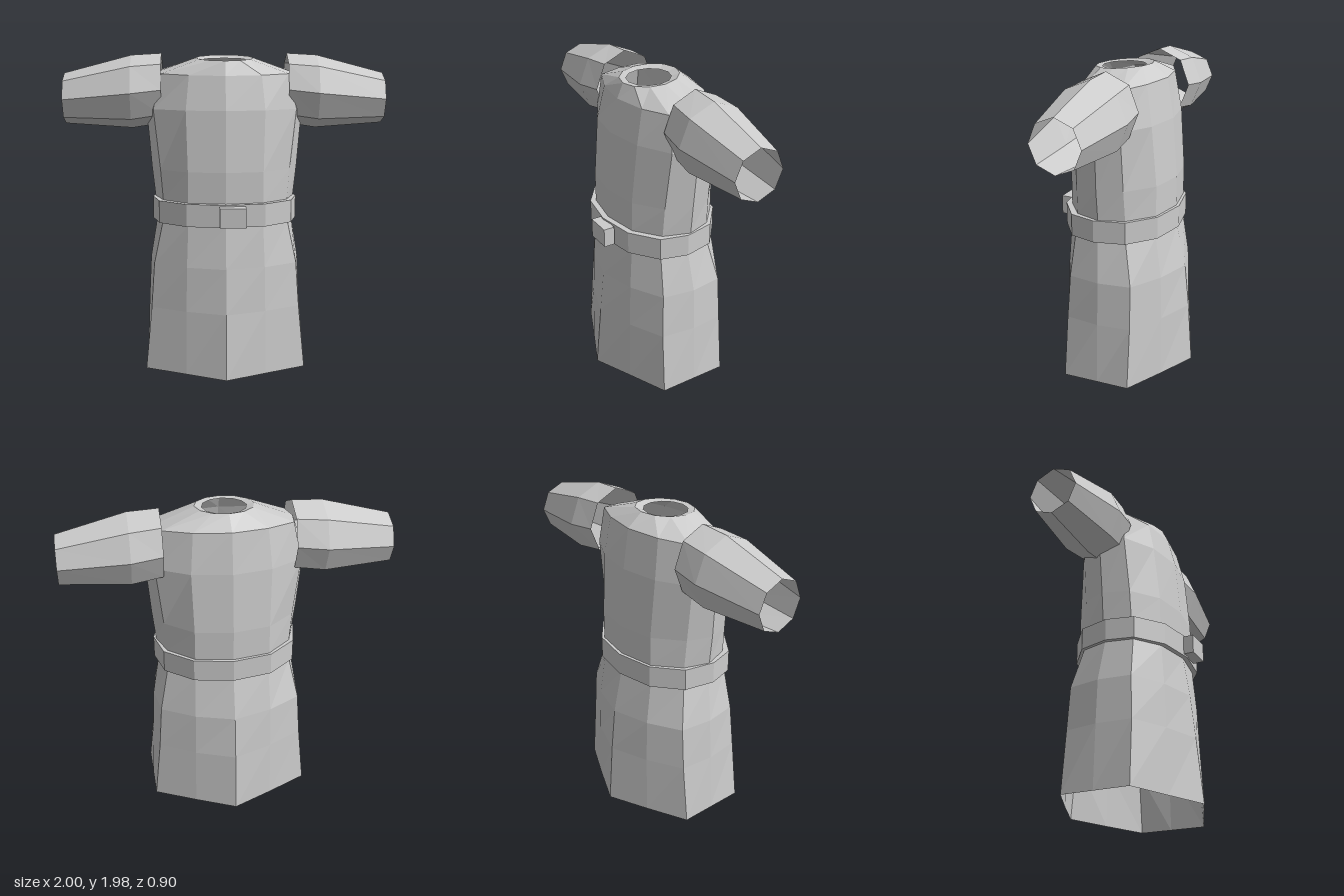
import * as THREE from 'three';

const cloth = new THREE.MeshStandardMaterial({ color: 0xcccccc, flatShading: true, side: THREE.DoubleSide });
cloth.name = 'pale grey cloth';

// Skin a list of closed rings; all rings have the same number of points
function loft(rings, name) {
  const pos = [];
  const n = rings[0].length;
  for (let r = 0; r + 1 < rings.length; r++) {
    for (let i = 0; i < n; i++) {
      const j = (i + 1) % n;
      const a = rings[r][i], b = rings[r][j], c = rings[r + 1][j], d = rings[r + 1][i];
      pos.push(...a, ...b, ...c, ...a, ...c, ...d);
    }
  }
  const geo = new THREE.BufferGeometry();
  geo.setAttribute('position', new THREE.Float32BufferAttribute(pos, 3));
  geo.computeVertexNormals();
  const mesh = new THREE.Mesh(geo, cloth);
  mesh.name = name;
  return mesh;
}

// Twelve-sided ring from its +x half [x, z], front to back; y drops by slope along z
function ring(y, slope, half) {
  const mirrored = half.slice(1, -1).reverse().map(([x, z]) => [-x, z]);
  return [...half, ...mirrored].map(([x, z]) => [x, y + slope * z, z]);
}

// Round twelve-sided ring for the neck
function roundRing(y, slope, radius, cz) {
  const half = [];
  for (let i = 0; i <= 6; i++) {
    const t = (i / 6) * Math.PI;
    half.push([radius * Math.sin(t), cz + radius * Math.cos(t)]);
  }
  return ring(y, slope, half);
}

// Octagonal sleeve ring around the x axis
function sleeveRing(x, cy, ry, cz, rz) {
  const pts = [];
  for (let i = 0; i < 8; i++) {
    const t = (i / 8) * Math.PI * 2;
    pts.push([x, cy + ry * Math.cos(t), cz + rz * Math.sin(t)]);
  }
  return pts;
}

export function createModel() {
  const group = new THREE.Group();
  group.name = 'tunic';

  // Skirt and torso, open at the hem and the neck
  group.add(loft([
    ring(0.01, -0.02, [[0, 0.45], [0.25, 0.34], [0.505, 0.23], [0.505, 0], [0.505, -0.21], [0.25, -0.335], [0, -0.45]]),
    ring(0.41, 0, [[0, 0.41], [0.245, 0.33], [0.465, 0.22], [0.49, 0], [0.465, -0.21], [0.245, -0.33], [0, -0.42]]),
    ring(0.69, 0, [[0, 0.38], [0.24, 0.32], [0.445, 0.205], [0.475, 0], [0.445, -0.205], [0.24, -0.32], [0, -0.39]]),
    ring(0.95, 0, [[0, 0.34], [0.23, 0.3], [0.39, 0.19], [0.43, 0.02], [0.39, -0.15], [0.23, -0.28], [0, -0.33]]),
    ring(1.09, 0, [[0, 0.33], [0.23, 0.295], [0.385, 0.175], [0.44, 0.01], [0.385, -0.145], [0.23, -0.28], [0, -0.32]]),
    ring(1.28, 0, [[0, 0.33], [0.23, 0.295], [0.4, 0.17], [0.46, 0.01], [0.4, -0.14], [0.23, -0.28], [0, -0.32]]),
    ring(1.65, 0, [[0, 0.3], [0.24, 0.26], [0.44, 0.15], [0.49, 0], [0.44, -0.14], [0.24, -0.25], [0, -0.29]]),
    ring(1.875, -0.08, [[0, 0.25], [0.22, 0.215], [0.39, 0.14], [0.41, 0], [0.39, -0.13], [0.22, -0.21], [0, -0.25]]),
    roundRing(1.96, -0.08, 0.18, 0.03),
    roundRing(1.948, -0.04, 0.135, 0.035),
  ], 'tunicBody'));

  // Belt: a closed band around the waist
  const outer = [[0, 0.37], [0.24, 0.33], [0.41, 0.205], [0.455, 0.035], [0.41, -0.155], [0.24, -0.295], [0, -0.34]];
  const inner = outer.map(([x, z]) => [x * 0.9, z * 0.9]);
  group.add(loft([
    ring(0.95, 0, inner), ring(0.95, 0, outer), ring(1.09, 0, outer), ring(1.09, 0, inner),
  ], 'belt'));

  const buckle = new THREE.Mesh(new THREE.BoxGeometry(0.16, 0.12, 0.07), cloth);
  buckle.name = 'beltBuckle';
  buckle.position.set(0.04, 1.02, 0.393);
  group.add(buckle);

  // Sleeves, open at both ends
  for (const side of [1, -1]) {
    const rings = [
      sleeveRing(side * 0.392, 1.767, 0.218, -0.03, 0.205),
      sleeveRing(side * 0.58, 1.747, 0.227, -0.027, 0.225),
      sleeveRing(side, 1.707, 0.157, -0.028, 0.158),
    ];
    if (side < 0) rings.reverse();
    group.add(loft(rings, side > 0 ? 'leftSleeve' : 'rightSleeve'));
  }
  return group;
}
